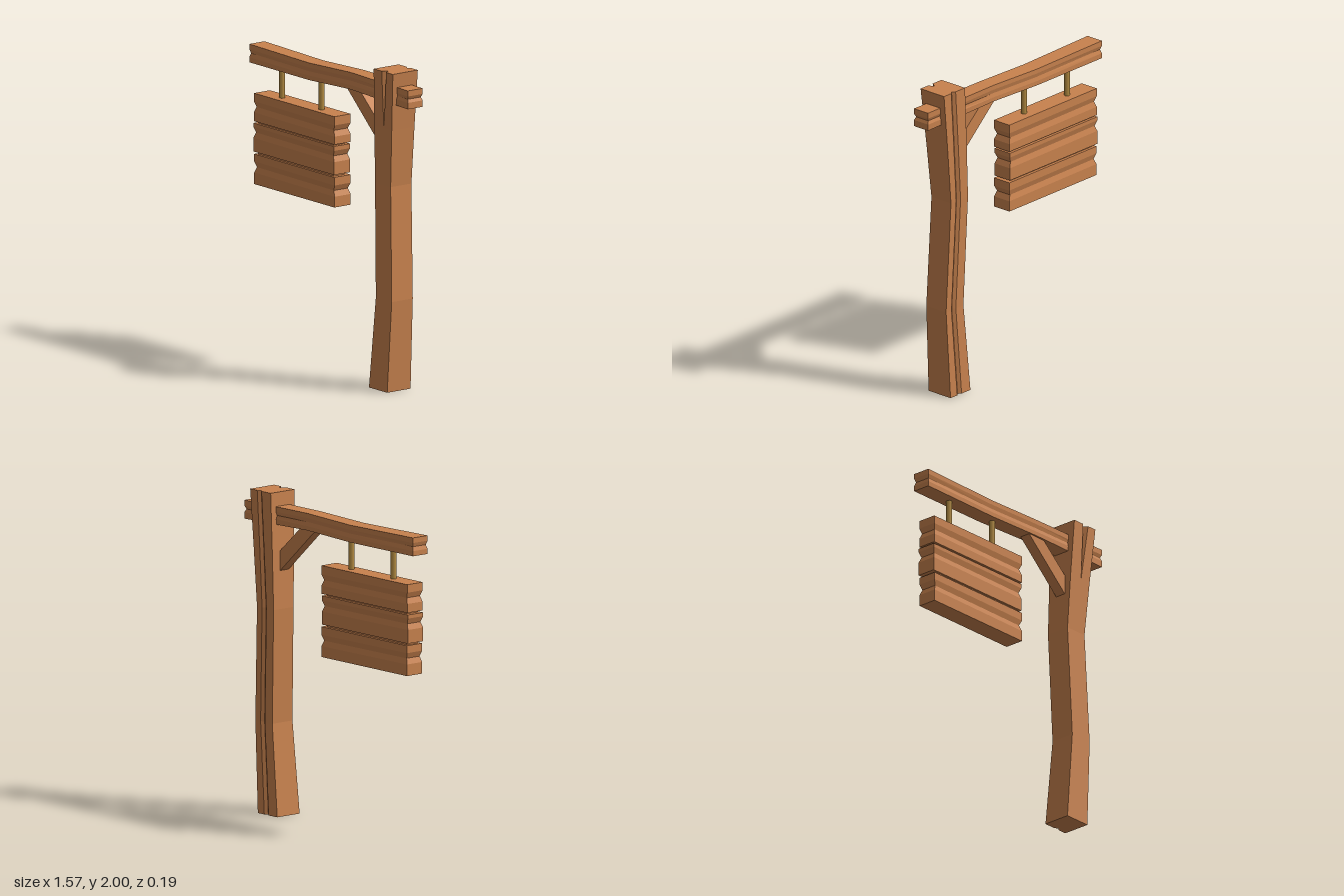
import * as THREE from 'three';

const wood = new THREE.MeshStandardMaterial({ color: 0xc8824e });
wood.name = 'wood';
const rope = new THREE.MeshStandardMaterial({ color: 0xb48c42 });
rope.name = 'rope';

// Skins ten-point rings: points 0-4 run along one grooved face, 5-9 back along the other
function loft(rings) {
  const pos = [];
  const quad = (a, b, c, d) => [a, b, c, a, c, d].forEach((p) => pos.push(...p));
  for (let r = 0; r < rings.length - 1; r++) {
    const A = rings[r], B = rings[r + 1];
    for (let i = 0; i < 10; i++) {
      const j = (i + 1) % 10;
      quad(A[i], A[j], B[j], B[i]);
    }
  }
  const first = rings[0], last = rings[rings.length - 1];
  for (let i = 0; i < 4; i++) {
    quad(last[i], last[i + 1], last[8 - i], last[9 - i]);
    quad(first[9 - i], first[8 - i], first[i + 1], first[i]);
  }
  const g = new THREE.BufferGeometry();
  g.setAttribute('position', new THREE.Float32BufferAttribute(pos, 3));
  g.computeVertexNormals();
  return g;
}

// Upright ring with a V groove in the front (fw wide, fd deep) and in the back
function postRing(y, x0, x1, zb, zf, fx, fw, fd) {
  const bx = (x0 + x1) / 2 + 0.01;
  return [
    [x0, y, zf], [fx - fw, y, zf], [fx, y, zf - fd], [fx + fw, y, zf], [x1, y, zf],
    [x1, y, zb], [bx + 0.02, y, zb], [bx, y, zb + 0.015], [bx - 0.02, y, zb], [x0, y, zb],
  ];
}

// Ring across a plank running along x, grooved on both faces and dented at its end
function plankRing(x, y0, y1, zb, zf, notchY, half, groove, dent) {
  const lo = notchY - half, hi = notchY + half;
  return [
    [x, y0, zb], [x, lo, zb], [x + dent, notchY, zb + groove], [x, hi, zb], [x, y1, zb],
    [x, y1, zf], [x, hi, zf], [x + dent, notchY, zf - groove], [x, lo, zf], [x, y0, zf],
  ];
}

export function createModel() {
  const root = new THREE.Group();
  root.name = 'hangingSign';
  const add = (name, geometry, material = wood) => {
    const m = new THREE.Mesh(geometry, material);
    m.name = name;
    root.add(m);
    return m;
  };

  // Crooked post, split open at the top of its front
  add('post', loft([
    postRing(0, 0.44, 0.62, -0.09, 0.09, 0.53, 0.001, 0),
    postRing(0.57, 0.495, 0.652, -0.082, 0.08, 0.57, 0.001, 0),
    postRing(1.28, 0.468, 0.622, -0.095, 0.065, 0.56, 0.001, 0),
    postRing(1.64, 0.48, 0.652, -0.095, 0.08, 0.575, 0.001, 0),
    postRing(2, 0.495, 0.685, -0.095, 0.097, 0.597, 0.022, 0.035),
  ]));

  // Sagging crossbeam
  add('crossbeam', loft([
    plankRing(-0.785, 1.798, 1.912, -0.06, 0.057, 1.855, 0.025, 0.008, 0.008),
    plankRing(-0.2, 1.795, 1.902, -0.056, 0.054, 1.848, 0.025, 0.006, 0),
    plankRing(0.2, 1.81, 1.916, -0.058, 0.046, 1.862, 0.025, 0.006, 0),
    plankRing(0.785, 1.795, 1.91, -0.055, 0.06, 1.855, 0.02, 0.008, -0.01),
  ]));

  // Diagonal brace between beam and post
  const braceShape = new THREE.Shape([
    [0.14, 1.82], [0.5, 1.495], [0.5, 1.62], [0.275, 1.82],
  ].map(([x, y]) => new THREE.Vector2(x, y)));
  add('brace', new THREE.ExtrudeGeometry(braceShape, { depth: 0.07, bevelEnabled: false })
    .translate(0, 0, -0.035));

  // Three notched sign boards: bottom, top, notch height, left end, right end
  [
    [1.44, 1.615, 1.53, -0.735, 0.06],
    [1.25, 1.428, 1.37, -0.74, 0.055],
    [1.048, 1.236, 1.155, -0.732, 0.06],
  ].forEach(([y0, y1, notch, x0, x1], i) => {
    add('signBoard' + (i + 1), loft([
      plankRing(x0, y0, y1, -0.063, 0.06, notch, 0.035, 0.01, 0.014),
      plankRing(x1, y0, y1, -0.065, 0.06, notch - 0.005, 0.035, 0.01, -0.016),
    ]));
  });

  // Recessed backing that joins the boards
  add('boardCore', new THREE.BoxGeometry(0.74, 0.5, 0.09)).position.set(-0.34, 1.33, 0);

  // Hanging ropes
  for (const x of [-0.535, -0.145]) {
    add('hangingRope', new THREE.CylinderGeometry(0.018, 0.018, 0.22, 8).toNonIndexed(), rope)
      .position.set(x, 1.705, 0);
  }
  return root;
}
